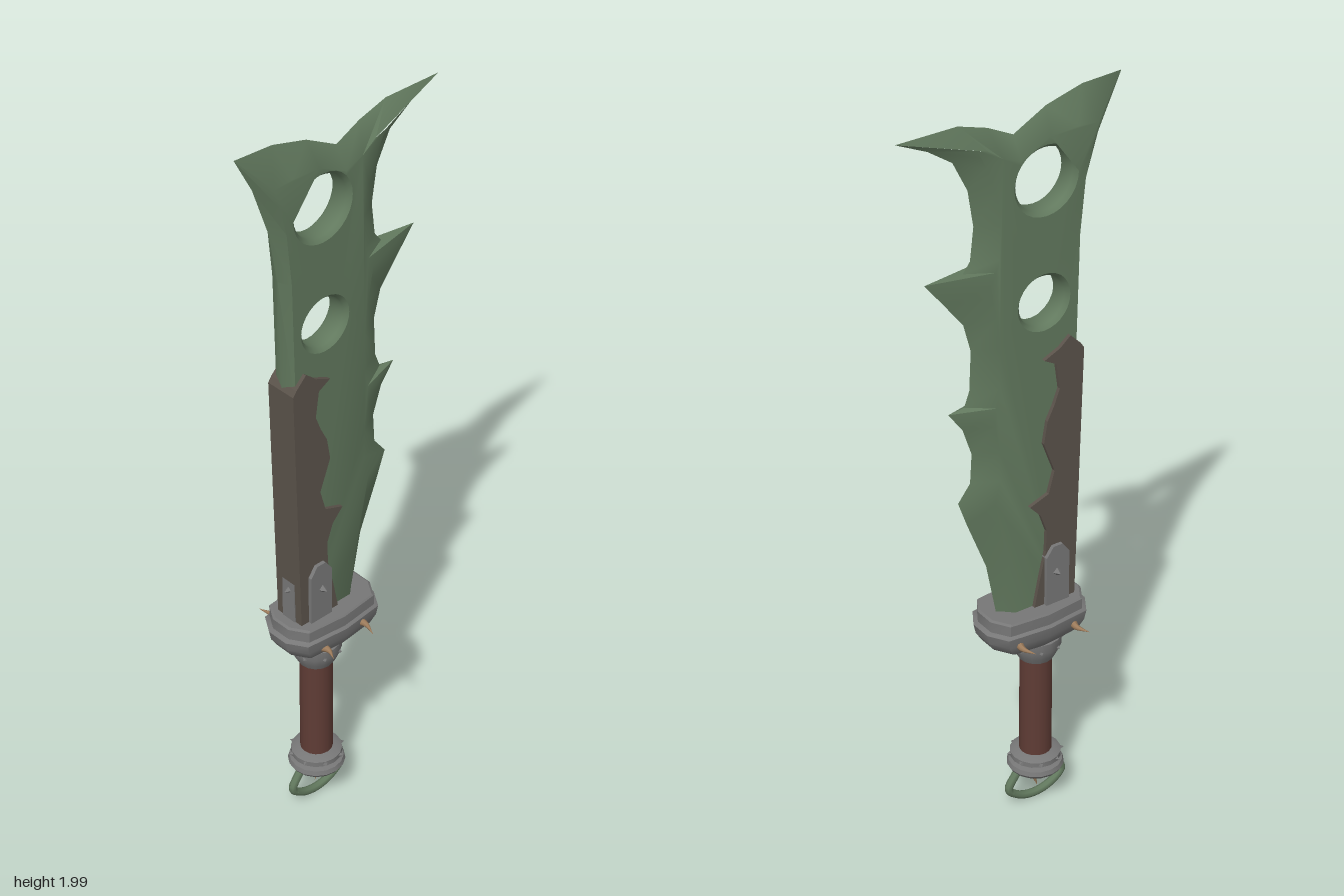
import * as THREE from 'three';
import { toCreasedNormals } from 'three/addons/utils/BufferGeometryUtils.js';

const mat = (name, color, side = THREE.FrontSide) => {
  const m = new THREE.MeshStandardMaterial({ color, side });
  m.name = name;
  return m;
};

export function createModel() {
  const green = mat('green blade', 0x62795e);
  const brown = mat('dark leather', 0x5b534b);
  const grey = mat('grey metal', 0x777777);
  const red = mat('red brown grip', 0x5f3c35);
  const bone = mat('bone', 0x9c7b5b);
  const model = new THREE.Group();
  const CX = -0.08; // handle axis

  const add = (name, geo, material, x = 0, y = 0, z = 0) => {
    const mesh = new THREE.Mesh(geo, material);
    mesh.name = name;
    mesh.position.set(x, y, z);
    model.add(mesh);
    return mesh;
  };
  const build = (pos, index, crease) => {
    const g = new THREE.BufferGeometry();
    g.setAttribute('position', new THREE.Float32BufferAttribute(pos, 3));
    g.setIndex(index);
    return toCreasedNormals(g, crease);
  };

  // Blade: sharp outline (x, y) paired with the inner border (x, y) of the flat face
  const T = 0.033;
  const edge = [
    [-.31, 1.995, -.225, 1.9], [-.2, 1.99, -.17, 1.905], [-.1, 1.963, -.09, 1.9], [-.01, 1.915, -.01, 1.86],
    [.06, 1.95, .04, 1.88], [.14, 1.975, .08, 1.91], [.305, 1.975, .11, 1.92], [.22, 1.935, .1, 1.9],
    [.155, 1.89, .085, 1.87], [.115, 1.81, .06, 1.8], [.1, 1.715, .045, 1.715], [.11, 1.63, .05, 1.63],
    [.13, 1.603, .06, 1.6], [.235, 1.605, .075, 1.57], [.18, 1.535, .07, 1.54], [.13, 1.47, .06, 1.48],
    [.11, 1.395, .05, 1.395], [.115, 1.29, .05, 1.29], [.13, 1.25, .06, 1.24], [.175, 1.245, .075, 1.22],
    [.135, 1.19, .065, 1.19], [.11, 1.115, .05, 1.115], [.115, 1.035, .05, 1.035], [.15, .99, .065, .975],
    [.125, .92, .055, .92], [.07, .78, .025, .78], [.035, .6, 0, .6], [-.16, .6, -.15, .6],
    [-.18, 1.29, -.168, 1.29], [-.19, 1.63, -.176, 1.63], [-.215, 1.77, -.19, 1.77], [-.26, 1.9, -.21, 1.85],
  ];
  const holes = [[-.08, 1.793, .08], [-.075, 1.48, .065]];
  const N = edge.length, H = 28;
  const verts = []; // front half: x, y, z
  edge.forEach(e => verts.push([e[0], e[1], 0]));
  edge.forEach(e => verts.push([e[2], e[3], T]));
  const ringOf = (x, y, r) => Array.from({ length: H }, (_, i) => {
    const a = i / H * Math.PI * 2;
    return [x + r * Math.cos(a), y + r * Math.sin(a)];
  });
  const wide = holes.map(([x, y, r]) => ringOf(x, y, r + .01));
  wide.forEach(r => r.forEach(p => verts.push([...p, T])));
  const rim = verts.length;
  holes.forEach(([x, y, r]) => ringOf(x, y, r).forEach(p => verts.push([...p, .022])));
  const V = verts.length, index = [];
  const both = (a, b, c) => { // one triangle on the front and its mirror on the back
    const [A, B, C] = [verts[a], verts[b], verts[c]];
    const area = (B[0] - A[0]) * (C[1] - A[1]) - (B[1] - A[1]) * (C[0] - A[0]);
    if (area < 0) [b, c] = [c, b];
    index.push(a, b, c, a + V, c + V, b + V);
  };
  const vec = p => new THREE.Vector2(p[0], p[1]);
  THREE.ShapeUtils.triangulateShape(edge.map(e => new THREE.Vector2(e[2], e[3])), wide.map(r => r.map(vec)))
    .forEach(t => both(t[0] + N, t[1] + N, t[2] + N));
  for (let i = 0; i < N; i++) {
    const j = (i + 1) % N;
    both(i, j, N + i);
    both(j, N + j, N + i);
  }
  for (let h = 0; h < holes.length; h++) for (let i = 0; i < H; i++) {
    const j = (i + 1) % H, w = 2 * N + h * H, r = rim + h * H;
    both(w + i, w + j, r + i);
    both(w + j, r + j, r + i);
    index.push(r + i, r + j, r + i + V, r + j, r + j + V, r + i + V);
  }
  const pos = [...verts, ...verts.map(v => [v[0], v[1], -v[2]])].flat();
  add('blade', build(pos, index, 0.8), green);

  // Ragged leather cover along the back of the blade
  const plate = (points, depth) => {
    const g = new THREE.ExtrudeGeometry(new THREE.Shape(points.map(vec)), { depth, bevelEnabled: false });
    return g.translate(0, 0, -depth / 2);
  };
  add('bladeCover', plate([
    [-.185, 1.33], [-.175, 1.345], [-.145, 1.375], [-.115, 1.35], [-.07, 1.33], [-.105, 1.31], [-.115, 1.24],
    [-.1, 1.2], [-.08, 1.16], [-.07, 1.1], [-.085, 1.06], [-.102, 1.015], [-.085, .955], [-.03, .935],
    [-.062, .9], [-.08, .85], [-.078, .79], [-.06, .71], [-.04, .61], [-.165, .61],
  ], .086), brown);

  // Metal straps holding the cover, with studs
  const strap = w => [[-w, .61], [w, .61], [w, .775], [w * .4, .803], [-w * .4, .803], [-w, .775]];
  add('faceStrap', plate(strap(.034), .106), grey, -.108);
  add('spineStrap', plate(strap(.022), .012), grey, -.163).rotation.y = Math.PI / 2;
  const stud = (x, y, z, dir, r = .013, h = .018) => {
    const m = add('stud', new THREE.ConeGeometry(r, h, 4).toNonIndexed(), grey, x, y, z);
    m.geometry.computeVertexNormals();
    m.quaternion.setFromUnitVectors(new THREE.Vector3(0, 1, 0), dir.normalize());
  };
  for (const s of [1, -1]) stud(-.105, .727, s * .06, new THREE.Vector3(0, 0, s));
  stud(-.173, .727, 0, new THREE.Vector3(-1, 0, 0));

  // Guard: lofted ten-sided block
  const outline = [[.145, .03], [.115, .078], [0, .09], [-.115, .078], [-.145, .03],
    [-.145, -.03], [-.115, -.078], [0, -.09], [.115, -.078], [.145, -.03]];
  const levels = [[.53, 0], [.53, .72], [.545, .87], [.57, .98], [.597, 1.02], [.603, .94], [.632, .94], [.636, .9], [.636, 0]];
  const gPos = [], gIdx = [], K = outline.length;
  levels.forEach(([y, s]) => outline.forEach(([x, z]) => gPos.push(x * s, y, z * s)));
  for (let l = 0; l < levels.length - 1; l++) for (let i = 0; i < K; i++) {
    const a = l * K + i, b = l * K + (i + 1) % K;
    gIdx.push(a, a + K, b, b, a + K, b + K);
  }
  add('guard', build(gPos, gIdx, 0.6), grey, -.06);

  // Curved bone spikes
  const horn = (r, h, bend) => {
    const g = new THREE.ConeGeometry(r, h, 8, 6).translate(0, h / 2, 0);
    const p = g.attributes.position;
    for (let i = 0; i < p.count; i++) {
      const t = p.getY(i) / h;
      p.setX(i, p.getX(i) + bend * Math.sin(t * 4.2));
      p.setZ(i, p.getZ(i) + bend * .6 * t * t);
    }
    g.computeVertexNormals();
    return g;
  };
  for (const [x, y, s, h] of [[-.125, .562, 1, .05], [-.005, .58, 1, .063], [-.143, .57, -1, .065], [.02, .57, -1, .065]])
    add('guardSpike', horn(.012, h, .006), bone, x, y, s * .07).rotation.x = s * Math.PI / 2;

  // Handle: collar, grip and pommel
  const lathe = (name, pts) =>
    add(name, toCreasedNormals(new THREE.LatheGeometry(pts.map(vec), 16), 0.6), grey, CX);
  lathe('collar', [[0, .455], [.046, .458], [.055, .475], [.065, .5], [.065, .525], [.052, .535], [0, .535]]);
  add('grip', new THREE.CylinderGeometry(.042, .042, .31, 16), red, CX, .315);
  lathe('pommel', [[0, .095], [.04, .1], [.068, .113], [.074, .122], [.07, .134], [.055, .138],
    [.066, .146], [.066, .16], [.05, .168], [0, .168]]);
  for (let i = 0; i < 8; i++) {
    const a = (i + .5) / 8 * Math.PI * 2, c = Math.cos(a), s = Math.sin(a);
    stud(CX + c * .064, .502, s * .064, new THREE.Vector3(c, 0, s), .011, .016);
    stud(CX + c * .068, .153, s * .068, new THREE.Vector3(c, 0, s), .009, .014);
  }

  // Hanging ring and spike under the pommel
  const path = new THREE.CatmullRomCurve3([[-.05, .115], [-.066, .095], [-.083, .062], [-.05, .031], [0, .019],
    [.05, .031], [.083, .062], [.066, .095], [.05, .115]].map(p => new THREE.Vector3(p[0], p[1], 0)));
  add('pommelRing', new THREE.TubeGeometry(path, 40, .011, 8), green, CX);
  for (const s of [1, -1]) {
    const tip = add('ringBarb', new THREE.ConeGeometry(.011, .035, 8), green, CX + s * .083, .065, 0);
    tip.rotation.z = -s * .5;
  }
  add('pommelSpike', horn(.013, .065, .005), bone, CX, .105).rotation.x = Math.PI;

  return model;
}
